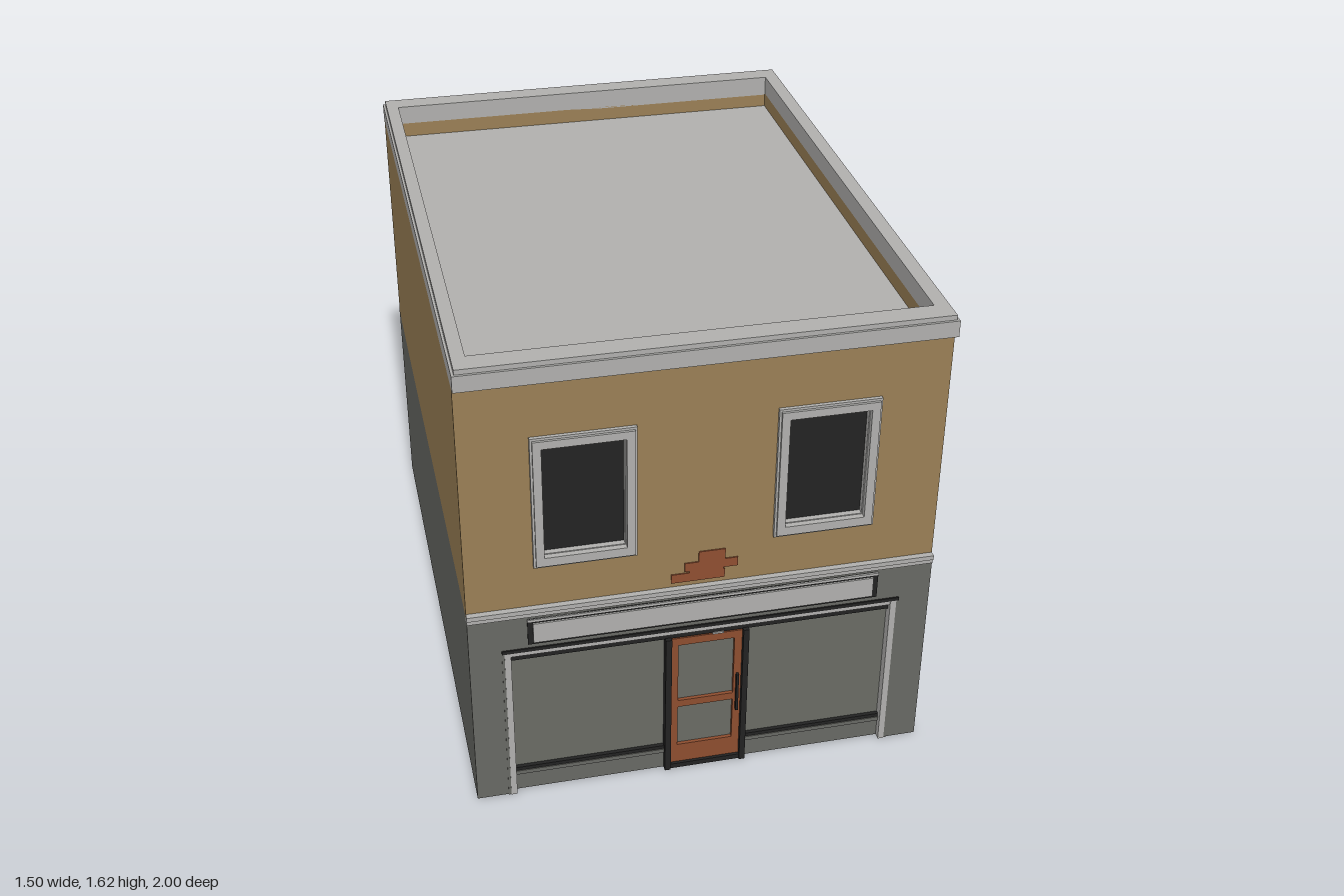
import * as THREE from 'three';

const mat = (name, color) => {
  const m = new THREE.MeshStandardMaterial({ color });
  m.name = name;
  return m;
};

export function createModel() {
  const tan = mat('tan plaster', 0x9a7f55);
  const grey = mat('grey wall', 0x676863);
  const glass = mat('shop glass', 0x696b64);
  const light = mat('light stone', 0xb0afad);
  const dark = mat('dark frame', 0x222222);
  const pane = mat('dark window glass', 0x232323);
  const brick = mat('brick', 0x8f4e31);
  const wood = mat('door paint', 0x8d4d2f);
  const shutterGrey = mat('shutter grey', 0x63645f);

  const root = new THREE.Group();
  root.name = 'shopBuilding';

  const add = (parent, name, geo, m) => {
    const mesh = new THREE.Mesh(geo, m);
    mesh.name = name;
    parent.add(mesh);
    return mesh;
  };
  // Box given by its limits on each axis
  const box = (parent, name, m, x0, x1, y0, y1, z0, z1) => {
    const mesh = add(parent, name, new THREE.BoxGeometry(x1 - x0, y1 - y0, z1 - z0), m);
    mesh.position.set((x0 + x1) / 2, (y0 + y1) / 2, (z0 + z1) / 2);
    return mesh;
  };
  const rect = (C, x0, x1, y0, y1) => {
    const s = new C();
    s.moveTo(x0, y0);
    s.lineTo(x1, y0);
    s.lineTo(x1, y1);
    s.lineTo(x0, y1);
    s.closePath();
    return s;
  };
  // Upright wall whose outer face lies at local z = 0
  const extrudeWall = (parent, name, m, shape, t) => {
    const geo = new THREE.ExtrudeGeometry(shape, { depth: t, bevelEnabled: false });
    geo.translate(0, 0, -t);
    return add(parent, name, geo, m);
  };
  // Group for one side of the building, local +z points outwards
  const side = (name, x, z, rot) => {
    const g = new THREE.Group();
    g.name = name;
    g.position.set(x, 0, z);
    g.rotation.y = rot;
    root.add(g);
    return g;
  };

  const CX = -0.0025, HW = 0.7475;           // body centre and half width
  const ZL = 0.99, ZU = 0.98;                // lower and upper half depth
  const Q = Math.PI / 2;
  const WIN = { w: 0.127, y0: 0.942, y1: 1.332 };

  // ---- Upper floor ----
  const upperWall = (g, half, t, centres) => {
    const s = rect(THREE.Shape, -half, half, 0.74, 1.56);
    centres.forEach(c => s.holes.push(rect(THREE.Path, c - WIN.w, c + WIN.w, WIN.y0, WIN.y1)));
    extrudeWall(g, 'upperWall', tan, s, t);
  };
  const upperWindow = (g, c, out) => {
    const w = new THREE.Group();
    w.name = 'upperWindow';
    w.position.x = c;
    g.add(w);
    // stepped stone surround
    [[0.16, 0.903, 1.367, out * 0.6], [0.153, 0.911, 1.359, out]].forEach(([hw, y0, y1, z]) => {
      const s = rect(THREE.Shape, -hw, hw, y0, y1);
      s.holes.push(rect(THREE.Path, -WIN.w, WIN.w, WIN.y0, WIN.y1));
      extrudeWall(w, 'windowSurround', light, s, z).position.z = z;
    });
    // lining of the opening
    const lining = rect(THREE.Shape, -WIN.w, WIN.w, WIN.y0, WIN.y1);
    lining.holes.push(rect(THREE.Path, -WIN.w + 0.003, WIN.w - 0.003, WIN.y0 + 0.003, WIN.y1 - 0.003));
    extrudeWall(w, 'windowLining', light, lining, 0.022).position.z = 0.001;
    box(w, 'windowPane', pane, -WIN.w, WIN.w, WIN.y0, WIN.y1, -0.026, -0.018);
  };

  const upF = side('upperFront', CX, ZU, 0);
  const upB = side('upperBack', CX, -ZU, Math.PI);
  const upR = side('upperLeftSide', CX + HW, 0, Q);
  const upL = side('upperRightSide', CX - HW, 0, -Q);
  [[upF, HW, 0.06, [-0.375, 0.375], 0.02], [upB, HW, 0.06, [-0.375, 0.375], 0.02],
    [upR, ZU - 0.06, 0.05, [-0.49, 0.485], 0.005], [upL, ZU - 0.06, 0.05, [], 0]]
    .forEach(([g, half, t, centres, out]) => {
      upperWall(g, half, t, centres);
      centres.forEach(c => upperWindow(g, c, out));
    });

  // Patches of exposed brick
  [[upF, -0.107, 0.064, 0.77, 0.802], [upF, -0.064, 0.105, 0.808, 0.84], [upF, -0.05, 0.06, 0.8, 0.81],
    [upF, -0.02, 0.065, 0.84, 0.878], [upR, -0.796, -0.625, 1.395, 1.423],
    [upR, -0.625, -0.53, 1.396, 1.414], [upR, -0.753, -0.668, 1.423, 1.456], [upR, -0.73, -0.668, 1.386, 1.396]]
    .forEach(([g, x0, x1, y0, y1]) => box(g, 'brickPatch', brick, x0, x1, y0, y1, -0.003, 0.004));

  // Roof and cornice
  box(root, 'roof', light, CX - 0.7, CX + 0.7, 1.46, 1.51, -0.925, 0.925);
  [[1.555, 1.609, 0.75, 1.0], [1.609, 1.625, 0.742, 0.992]].forEach(([y0, y1, hx, hz]) => {
    const s = rect(THREE.Shape, -hx, hx, -hz, hz);
    s.holes.push(rect(THREE.Path, -0.7, 0.695, -0.92, 0.92));
    const geo = new THREE.ExtrudeGeometry(s, { depth: y1 - y0, bevelEnabled: false });
    geo.rotateX(-Q);
    add(root, 'cornice', geo, light).position.y = y0;
  });

  // ---- Lower floor ----
  box(root, 'lowerCore', grey, CX - HW + 0.03, CX + HW - 0.035, 0, 0.74, -ZL + 0.035, ZL - 0.035);
  box(root, 'floorSlab', grey, CX - HW + 0.01, CX + HW - 0.01, 0.7, 0.75, -ZL, ZL);
  const lowerWall = (g, half, t, x0, x1, h) => {
    const s = new THREE.Shape();
    const pts = [[-half, 0], [x0, 0], [x0, h], [x1, h], [x1, 0], [half, 0], [half, 0.75], [-half, 0.75]];
    s.setFromPoints(pts.map(p => new THREE.Vector2(...p)));
    extrudeWall(g, 'lowerWall', grey, s, t);
  };
  // Trim around an opening: light jambs and head, thin dark edge
  const trim = (g, x0, x1, h, out) => {
    [[x0, 1], [x1, -1]].forEach(([x, d]) => {
      const span = (a, b) => [Math.min(x + d * a, x + d * b), Math.max(x + d * a, x + d * b)];
      box(g, 'jamb', light, ...span(0.008, 0.028), 0, h - 0.012, -0.03, out);
      box(g, 'jambEdge', grey, ...span(0, 0.008), 0, h - 0.012, -0.03, out * 0.6);
    });
    box(g, 'headEdge', dark, x0, x1, h - 0.012, h, -0.03, out);
    box(g, 'head', light, x0 + 0.02, x1 - 0.02, h - 0.026, h - 0.012, -0.03, out * 0.7);
  };
  // Glazed shopfront bay with top rail, bottom rail and stall riser
  const glazing = (g, x0, x1) => {
    box(g, 'shopGlass', glass, x0, x1, 0.09, 0.56, -0.033, -0.027);
    box(g, 'topRail', dark, x0, x1, 0.547, 0.575, -0.033, -0.012);
    box(g, 'bottomRail', dark, x0, x1, 0.083, 0.096, -0.033, -0.014);
    box(g, 'stallRiser', grey, x0, x1, 0, 0.083, -0.033, -0.018);
    box(g, 'riserCap', grey, x0, x1, 0.068, 0.083, -0.033, -0.011);
  };

  // Front
  const front = side('lowerFront', CX, ZL, 0);
  lowerWall(front, HW, 0.04, -0.645, 0.645, 0.6);
  trim(front, -0.645, 0.645, 0.6, 0.005);
  glazing(front, -0.618, -0.12);
  glazing(front, 0.145, 0.618);
  box(front, 'topRail', dark, -0.13, 0.155, 0.547, 0.575, -0.033, -0.012);

  // Door
  const door = new THREE.Group();
  door.name = 'door';
  front.add(door);
  box(door, 'doorPost', dark, -0.123, -0.103, 0, 0.55, -0.034, 0.002);
  box(door, 'doorPost', dark, 0.131, 0.15, 0, 0.55, -0.034, 0.002);
  box(door, 'threshold', dark, -0.103, 0.131, 0, 0.018, -0.034, -0.004);
  const leaf = rect(THREE.Shape, -0.103, 0.131, 0.018, 0.541);
  leaf.holes.push(rect(THREE.Path, -0.078, 0.106, 0.092, 0.255), rect(THREE.Path, -0.078, 0.106, 0.282, 0.512));
  extrudeWall(door, 'doorLeaf', wood, leaf, 0.018).position.z = -0.014;
  box(door, 'doorGlass', glass, -0.09, 0.115, 0.08, 0.52, -0.033, -0.026);
  box(door, 'doorHandle', dark, 0.114, 0.122, 0.215, 0.365, -0.014, -0.002);
  box(door, 'doorLamp', light, 0.032, 0.068, 0.543, 0.55, -0.014, -0.008);

  // Sign board
  const sign = new THREE.Group();
  sign.name = 'signBoard';
  front.add(sign);
  box(sign, 'signBack', dark, -0.562, 0.568, 0.615, 0.712, -0.01, 0.004);
  box(sign, 'signPanel', light, -0.545, 0.551, 0.624, 0.697, 0, 0.01);
  box(sign, 'signTop', light, -0.562, 0.568, 0.704, 0.712, 0, 0.007);

  // Side shop window
  const right = side('lowerLeftSide', CX + HW, 0, Q);
  lowerWall(right, ZL - 0.04, 0.04, -0.88, 0.11, 0.605);
  trim(right, -0.88, 0.11, 0.605, 0.003);
  glazing(right, -0.852, 0.082);
  box(right, 'mullion', dark, -0.393, -0.373, 0.09, 0.56, -0.033, -0.014);

  // Plain side
  const left = side('lowerRightSide', CX - HW, 0, -Q);
  box(left, 'lowerWall', grey, -ZL + 0.04, ZL - 0.04, 0, 0.75, -0.04, 0);

  // Back with roller shutter
  const back = side('lowerBack', CX, -ZL, Math.PI);
  lowerWall(back, HW, 0.04, -0.375, 0.375, 0.63);
  [-1, 1].forEach(d => box(back, 'shutterGuide', light, d * 0.36 - 0.012, d * 0.36 + 0.012, 0, 0.62, -0.034, 0.003));
  box(back, 'shutterHead', grey, -0.375, 0.375, 0.617, 0.632, -0.034, 0.004);
  const slats = 13, pitch = 0.617 / slats;
  for (let i = 0; i < slats; i++) {
    const slat = box(back, 'shutterSlat', shutterGrey, -0.348, 0.348, i * pitch + 0.001, (i + 1) * pitch, -0.034, -0.024);
    slat.rotation.x = -0.2;
  }

  // String course between floors, front and back
  [front, back].forEach(g => {
    box(g, 'stringCourse', light, -HW, HW, 0.722, 0.738, -0.02, 0.005);
    box(g, 'stringCourse', light, -HW, HW, 0.738, 0.754, -0.02, 0.01);
  });

  return root;
}
